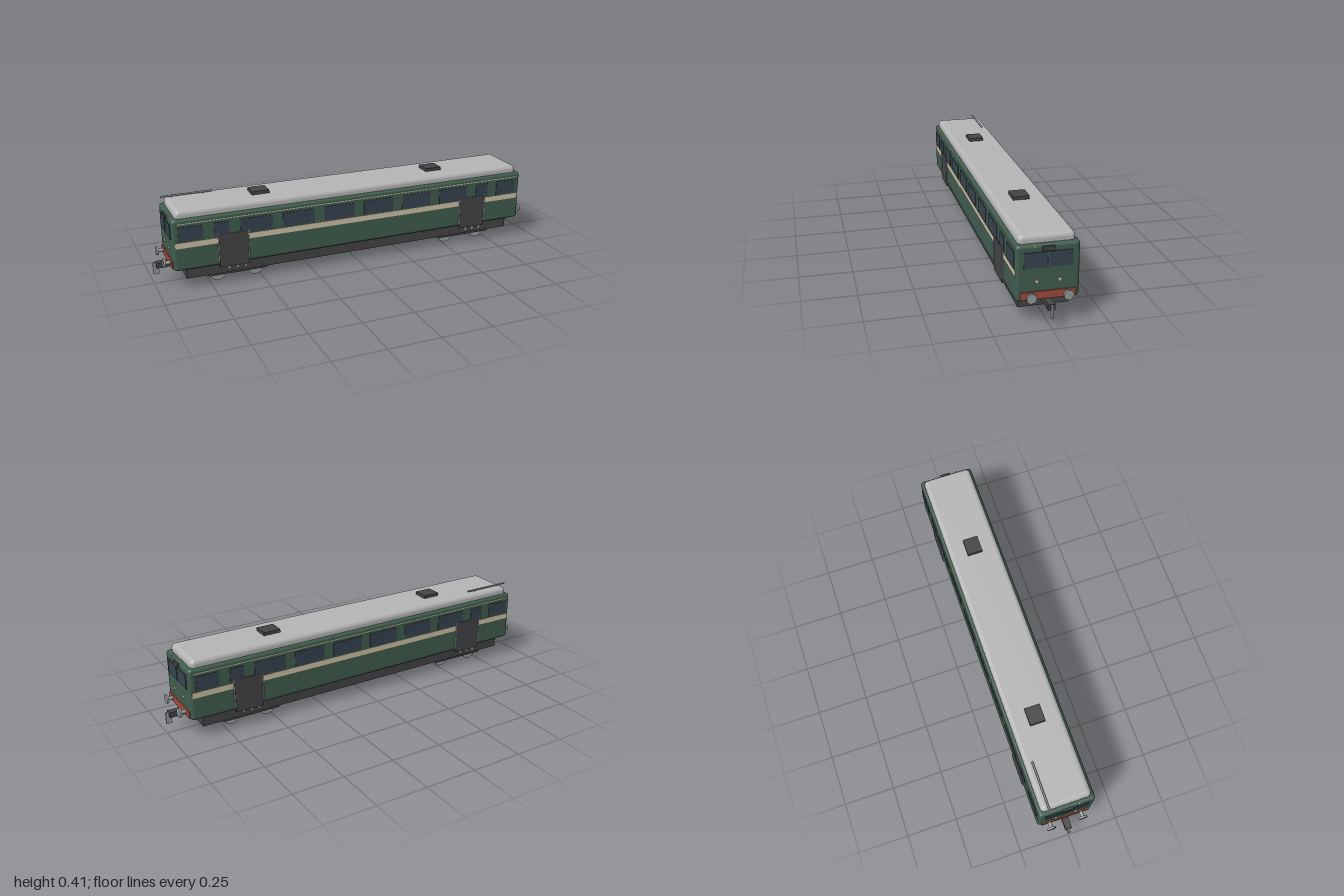
import * as THREE from 'three';
import { RoundedBoxGeometry } from 'three/addons/geometries/RoundedBoxGeometry.js';

const mat = (color) => new THREE.MeshStandardMaterial({ color });

export function createModel() {
  const model = new THREE.Group();
  model.name = 'railcar';
  const green = mat(0x3f5c4e), roofGrey = mat(0xb4b4b4), dark = mat(0x444446), glass = mat(0x36434f);
  const cream = mat(0xcdc0a6), red = mat(0x9c4a3c), steel = mat(0x96999b), black = mat(0x303234);

  const add = (name, geometry, material, x, y, z, parent = model) => {
    const mesh = new THREE.Mesh(geometry, material);
    mesh.name = name;
    mesh.position.set(x, y, z);
    parent.add(mesh);
    return mesh;
  };
  // Box given by its extents along each axis
  const box = (name, material, [x0, x1], [y0, y1], [z0, z1], parent = model) =>
    add(name, new THREE.BoxGeometry(x1 - x0, y1 - y0, z1 - z0), material,
      (x0 + x1) / 2, (y0 + y1) / 2, (z0 + z1) / 2, parent);
  // Cylinder lying along x
  const rodX = (name, material, r, x0, x1, y, z, parent = model) => {
    const geometry = new THREE.CylinderGeometry(r, r, x1 - x0, 24).rotateZ(Math.PI / 2);
    return add(name, geometry, material, (x0 + x1) / 2, y, z, parent);
  };

  // Body shell and roof
  add('body', new RoundedBoxGeometry(1.85, 0.253, 0.276, 4, 0.016), green, 0, 0.2265, 0);
  add('roof', new RoundedBoxGeometry(1.81, 0.06, 0.248, 5, 0.022), roofGrey, 0, 0.359, 0);
  for (const x of [-0.47, 0.46]) box('roofVent', dark, [x - 0.043, x + 0.043], [0.38, 0.405], [-0.038, 0.038]);
  rodX('roofPipe', steel, 0.0045, -0.925, -0.675, 0.396, -0.087);
  for (const x of [-0.87, -0.72]) box('pipeBracket', steel, [x - 0.004, x + 0.004], [0.38, 0.396], [-0.09, -0.084]);

  // Underframe with equipment boxes
  box('underframe', dark, [-0.865, 0.865], [0.048, 0.096], [-0.113, 0.113]);
  box('bodyFloor', black, [-0.86, 0.86], [0.09, 0.104], [-0.1, 0.1]);
  box('centreTank', dark, [-0.07, 0.165], [0.036, 0.05], [-0.07, 0.07]);

  // Bogies
  for (const s of [-1, 1]) {
    const bogie = new THREE.Group();
    bogie.name = 'bogie';
    bogie.position.x = s * 0.615;
    model.add(bogie);
    box('bogieFrame', dark, [-0.145, 0.145], [0.036, 0.06], [-0.105, 0.105], bogie);
    for (const x of [-0.093, 0.093]) {
      add('axle', new THREE.CylinderGeometry(0.008, 0.008, 0.146, 12).rotateX(Math.PI / 2), dark, x, 0.042, 0, bogie);
      for (const z of [-0.073, 0.073]) {
        add('wheel', new THREE.CylinderGeometry(0.041, 0.041, 0.012, 32).rotateX(Math.PI / 2), steel, x, 0.041, z, bogie);
      }
    }
    const inner = s * 0.4;
    box('equipmentBox', dark, [inner - 0.072, inner + 0.072], [0.036, 0.05], [-0.06, 0.06]);
  }

  // Sides
  for (const s of [-1, 1]) {
    const side = new THREE.Group();
    side.name = s > 0 ? 'frontSide' : 'rearSide';
    side.rotation.y = s > 0 ? 0 : Math.PI;
    model.add(side);
    box('waistStripe', cream, [-0.915, 0.915], [0.213, 0.24], [0.13, 0.1395], side);
    box('gutterStripe', cream, [-0.905, 0.905], [0.329, 0.333], [0.13, 0.1395], side);
    for (const x of [-0.525, -0.315, -0.105, 0.105, 0.315, 0.525]) {
      box('sideWindow', glass, [x - 0.079, x + 0.079], [0.246, 0.317], [0.13, 0.141], side);
    }
    for (const e of [-1, 1]) {
      const cab = e * 0.84, door = e * 0.64, hall = e * 0.695;
      box('cabWindow', glass, [cab - 0.057, cab + 0.057], [0.246, 0.317], [0.13, 0.141], side);
      box('vestibuleWindow', glass, [hall - 0.035, hall + 0.035], [0.246, 0.317], [0.13, 0.141], side);
      box('door', dark, [door - 0.07, door + 0.07], [0.09, 0.255], [0.13, 0.142], side);
      for (const x of [-0.074, 0.074]) {
        box('handrail', steel, [door + x - 0.002, door + x + 0.002], [0.11, 0.26], [0.135, 0.144], side);
      }
      for (const x of [-0.02, 0.02, 0.06]) {
        box('stepBracket', steel, [door + x - 0.006, door + x + 0.006], [0.064, 0.091], [0.11, 0.119], side);
      }
    }
  }

  // Cab ends, the second mirrored from the first
  for (const s of [-1, 1]) {
    const end = new THREE.Group();
    end.name = s > 0 ? 'leftEnd' : 'rightEnd';
    end.scale.x = s;
    model.add(end);
    for (const z of [-0.054, 0.054]) box('windscreen', glass, [0.915, 0.929], [0.251, 0.321], [z - 0.051, z + 0.051], end);
    box('windscreenPillar', green, [0.915, 0.931], [0.251, 0.321], [-0.003, 0.003], end);
    box('destinationBox', dark, [0.905, 0.932], [0.325, 0.345], [-0.026, 0.026], end);
    box('bufferBeam', red, [0.91, 0.931], [0.11, 0.145], [-0.12, 0.12], end);
    rodX('topLamp', cream, 0.0045, 0.9, 0.927, 0.347, 0.06, end);
    for (const z of [-1, 1]) {
      rodX('headlight', cream, 0.008, 0.915, 0.932, 0.191, z * 0.05, end);
      rodX('bufferShank', steel, 0.009, 0.925, 0.958, 0.131, z * 0.08, end);
      rodX('bufferHead', steel, 0.022, 0.956, 0.966, 0.131, z * 0.08, end);
    }
    box('couplerBar', dark, [0.85, 0.985], [0.081, 0.107], [-0.016, 0.016], end);
    box('couplerHook', steel, [0.972, 1], [0.048, 0.105], [-0.004, 0.004], end);
  }
  return model;
}
